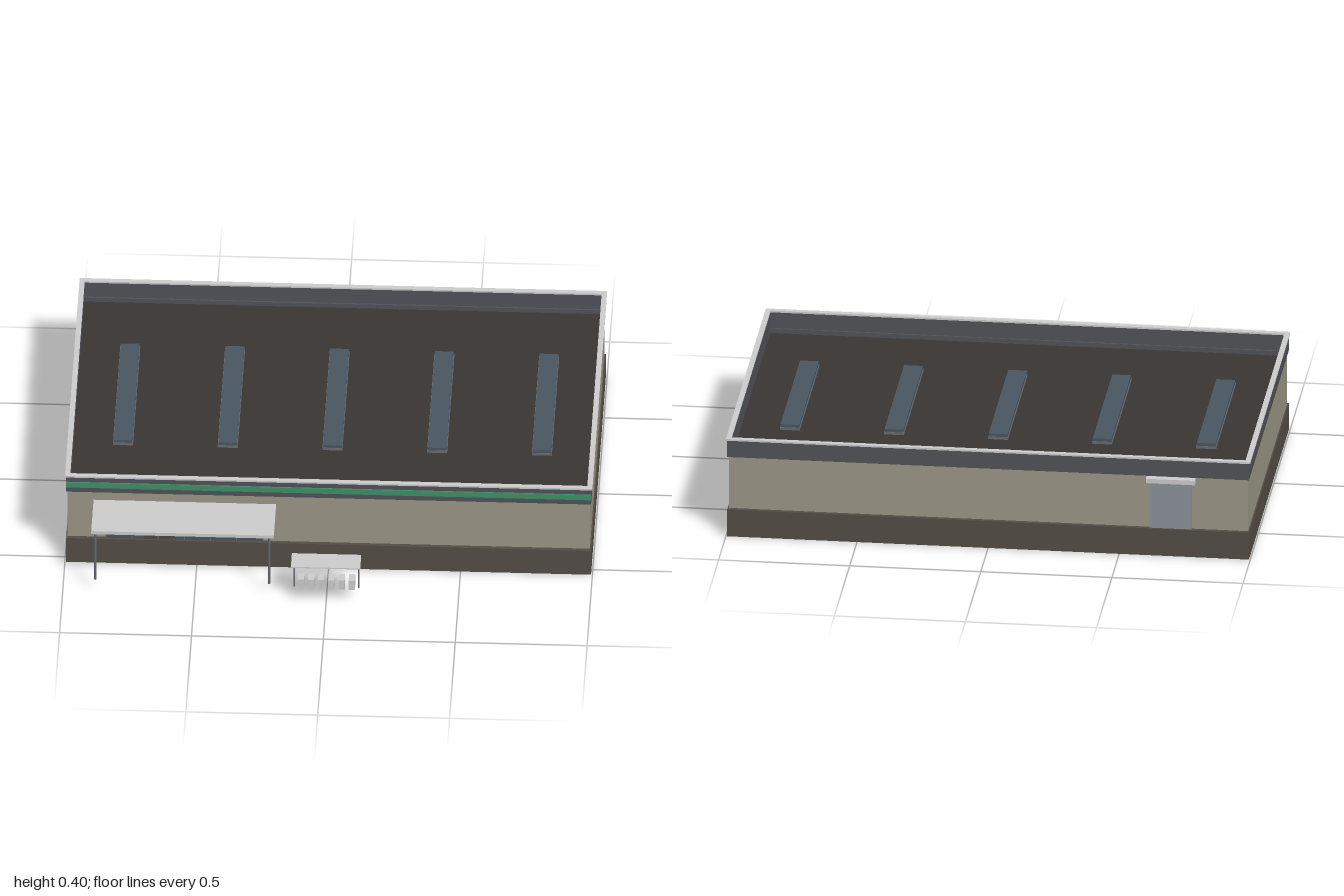
import * as THREE from 'three';

const mat = (color) => new THREE.MeshStandardMaterial({ color });
const M = {
  plinth: mat(0x534d45), wall: mat(0x9a9586), band: mat(0x505258), green: mat(0x3f8f68),
  roof: mat(0x3a3532), glass: mat(0x485560), frame: mat(0x666a70), light: mat(0xcccccc),
  door: mat(0x8c9299), dark: mat(0x4a4743),
};

// Box given by its lower and upper limits on each axis
function box(parent, name, material, [x0, x1], [y0, y1], [z0, z1]) {
  const mesh = new THREE.Mesh(new THREE.BoxGeometry(x1 - x0, y1 - y0, z1 - z0), material);
  mesh.position.set((x0 + x1) / 2, (y0 + y1) / 2, (z0 + z1) / 2);
  mesh.name = name;
  parent.add(mesh);
  return mesh;
}

function group(parent, name) {
  const g = new THREE.Group();
  g.name = name;
  parent.add(g);
  return g;
}

// Rectangular ring seen from above, extruded upwards
function ring(parent, name, material, hx, [z0, z1], t, [y0, y1]) {
  const rect = (S, d) => new S().moveTo(-hx + d, -z1 + d).lineTo(hx - d, -z1 + d)
    .lineTo(hx - d, -z0 - d).lineTo(-hx + d, -z0 - d).closePath();
  const shape = rect(THREE.Shape, 0);
  shape.holes.push(rect(THREE.Path, t));
  const geo = new THREE.ExtrudeGeometry(shape, { depth: y1 - y0, bevelEnabled: false });
  geo.rotateX(-Math.PI / 2).translate(0, y0, 0);
  const mesh = new THREE.Mesh(geo, material);
  mesh.name = name;
  parent.add(mesh);
}

function post(parent, name, x, z, y0, y1, r) {
  const mesh = new THREE.Mesh(new THREE.CylinderGeometry(r, r, y1 - y0, 8), M.frame);
  mesh.position.set(x, (y0 + y1) / 2, z);
  mesh.name = name;
  parent.add(mesh);
}

export function createModel() {
  const model = new THREE.Group();
  model.name = 'storeBuilding';

  // Main hall
  box(model, 'plinth', M.plinth, [-0.995, 0.995], [0, 0.11], [-0.763, 0.533]);
  box(model, 'walls', M.wall, [-0.99, 0.99], [0.11, 0.308], [-0.747, 0.518]);
  box(model, 'roofDeck', M.roof, [-0.985, 0.985], [0.3, 0.312], [-0.745, 0.516]);
  ring(model, 'wallHead', M.wall, 0.99, [-0.747, 0.518], 0.005, [0.3, 0.325]);
  ring(model, 'parapet', M.band, 0.995, [-0.763, 0.533], 0.014, [0.325, 0.393]);
  ring(model, 'parapetFoot', M.band, 0.988, [-0.745, 0.516], 0.007, [0.31, 0.33]);
  ring(model, 'coping', M.light, 1.0, [-0.767, 0.537], 0.02, [0.393, 0.4]);
  box(model, 'fasciaStripe', M.green, [-0.995, 0.995], [0.348, 0.371], [0.53, 0.538]);

  // Roof skylights
  const skylights = group(model, 'skylights');
  for (let i = -2; i <= 2; i++) {
    const x = i * 0.397;
    box(skylights, 'skylightCurb', M.frame, [x - 0.038, x + 0.038], [0.31, 0.322], [-0.44, 0.2]);
    box(skylights, 'skylight', M.glass, [x - 0.036, x + 0.036], [0.322, 0.334], [-0.438, 0.198]);
  }

  // Glazed shop front with mullions and entrance doors
  const front = group(model, 'shopFront');
  box(front, 'glazing', M.glass, [-0.845, -0.25], [0.1, 0.268], [0.51, 0.524]);
  for (let i = 0; i <= 6; i++) {
    const x = -0.845 + i * 0.0992;
    box(front, 'mullion', M.frame, [x - 0.002, x + 0.002], [0.11, 0.268], [0.515, 0.528]);
  }
  box(front, 'transom', M.frame, [-0.845, -0.25], [0.238, 0.243], [0.515, 0.528]);
  for (const x of [-0.7, -0.644])
    box(front, 'entranceDoor', M.dark, [x, x + 0.054], [0.1, 0.237], [0.515, 0.526]);

  // Entrance canopy
  const canopy = group(model, 'entranceCanopy');
  box(canopy, 'canopyRoof', M.light, [-0.892, -0.2], [0.266, 0.28], [0.515, 0.725]);
  for (const x of [-0.877, -0.218]) post(canopy, 'canopyPost', x, 0.713, 0.05, 0.267, 0.005);

  // Cart shelter with a row of carts
  const shelter = group(model, 'cartShelter');
  box(shelter, 'shelterRoof', M.light, [-0.133, 0.13], [0.168, 0.173], [0.685, 0.775]);
  for (const x of [-0.122, 0.122]) post(shelter, 'shelterPost', x, 0.728, 0.05, 0.169, 0.003);
  for (let i = 0; i < 6; i++) {
    const x = -0.096 + i * 0.0386;
    box(shelter, 'cart', M.light, [x - 0.012, x + 0.012], [0.06, 0.102], [0.713, 0.757]);
  }

  // Rear loading door with its hood
  const rear = group(model, 'loadingBay');
  box(rear, 'loadingDoor', M.door, [-0.775, -0.615], [0.1, 0.3], [-0.756, -0.74]);
  box(rear, 'doorHood', M.light, [-0.79, -0.603], [0.3, 0.318], [-0.776, -0.745]);

  return model;
}
